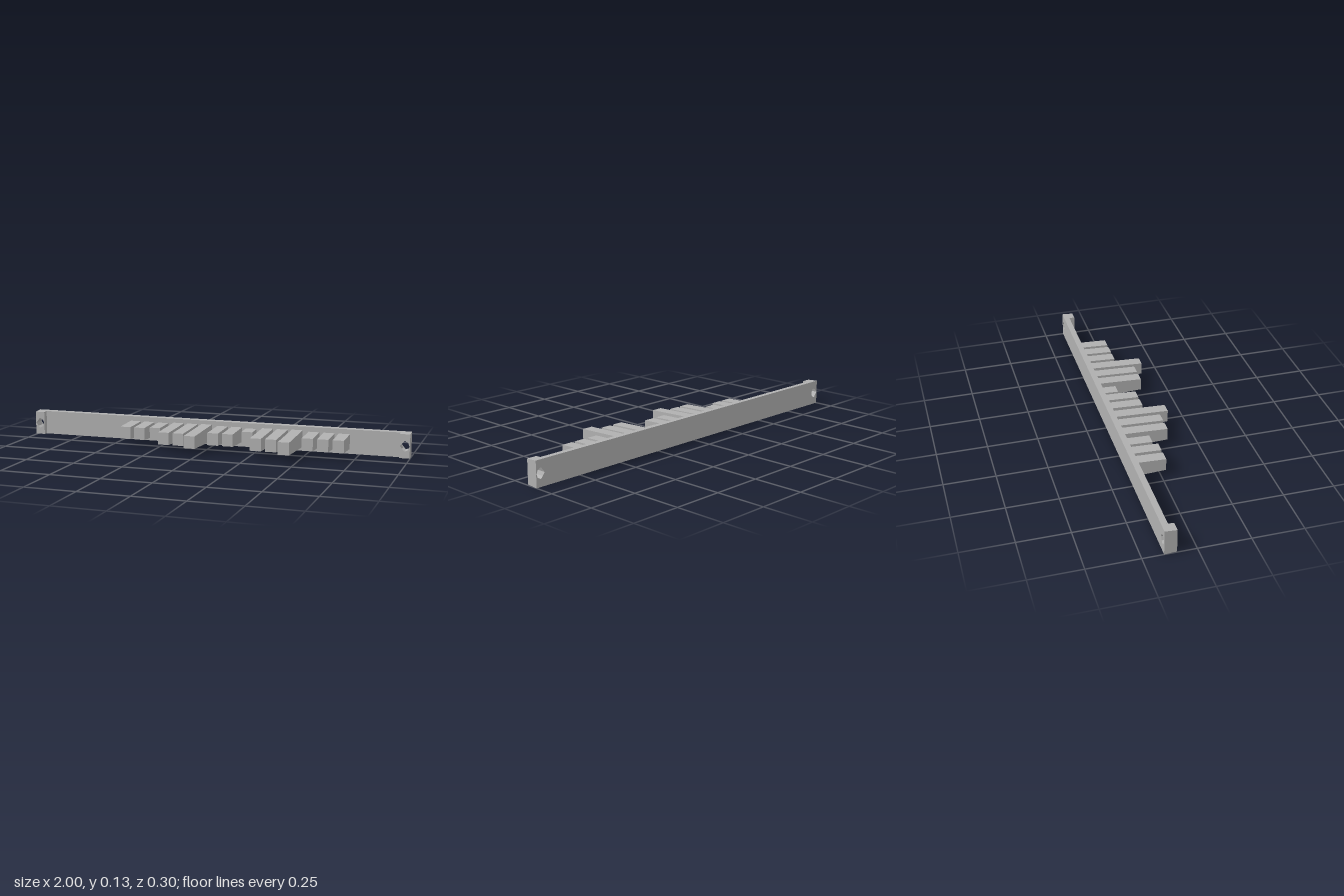
import * as THREE from 'three';

const MID = 0.063;    // height of the centre line
const BACK = -0.15;   // rear face of the strip

// Extrude a rectangle from z0 to z1 whose top and bottom draw in towards the front.
function draftedBlock(x0, x1, z0, z1, halfFront, slope, holeX) {
  const s = new THREE.Shape();
  s.moveTo(x0, -1).lineTo(x1, -1).lineTo(x1, 1).lineTo(x0, 1).closePath();
  if (holeX !== undefined) {
    const hole = new THREE.Path();
    for (let i = 0; i < 8; i++) {
      const a = -i * Math.PI / 4;
      const x = holeX + 0.023 * Math.cos(a), y = 0.026 * Math.sin(a);
      if (i) hole.lineTo(x, y); else hole.moveTo(x, y);
    }
    hole.closePath();
    s.holes.push(hole);
  }
  const g = new THREE.ExtrudeGeometry(s, { depth: z1 - z0, bevelEnabled: false });
  g.translate(0, 0, z0);
  const p = g.attributes.position;
  for (let i = 0; i < p.count; i++) {
    const y = p.getY(i);
    const outer = Math.abs(y) > 0.5;
    p.setY(i, MID + (outer ? Math.sign(y) * (halfFront + slope * (z1 - p.getZ(i))) : y));
  }
  g.computeVertexNormals();
  return g;
}

export function createModel() {
  const group = new THREE.Group();
  const grey = new THREE.MeshStandardMaterial({ color: 0xb0b0b0 });
  grey.name = 'grey';
  const add = (name, geometry) => {
    const m = new THREE.Mesh(geometry, grey);
    m.name = name;
    group.add(m);
  };

  // Long backing strip between the two ends
  add('backStrip', draftedBlock(-0.95, 0.95, BACK, -0.12, 0.0612, 0.06));

  // Thicker ends with screw holes
  add('leftEnd', draftedBlock(0.95, 1, BACK, -0.092, 0.0595, 0.06, 0.975));
  add('rightEnd', draftedBlock(-1, -0.95, BACK, -0.092, 0.0595, 0.06, -0.975));

  // Five groups of three teeth, listed by where each tooth ends
  const reach = [
    [0.023, 0.023, 0], [0.103, 0.103, 0.15], [0.043, 0.043, -0.043],
    [0.103, 0.103, 0.15], [0.023, 0.023, 0.023],
  ];
  reach.forEach((set, i) => set.forEach((z, j) => {
    const x = -0.432 + i * 0.2383 + j * 0.0763;
    add(`tooth${i * 3 + j + 1}`, draftedBlock(x - 0.028, x + 0.028, -0.125, z, 0.031, 0.042));
  }));
  return group;
}
